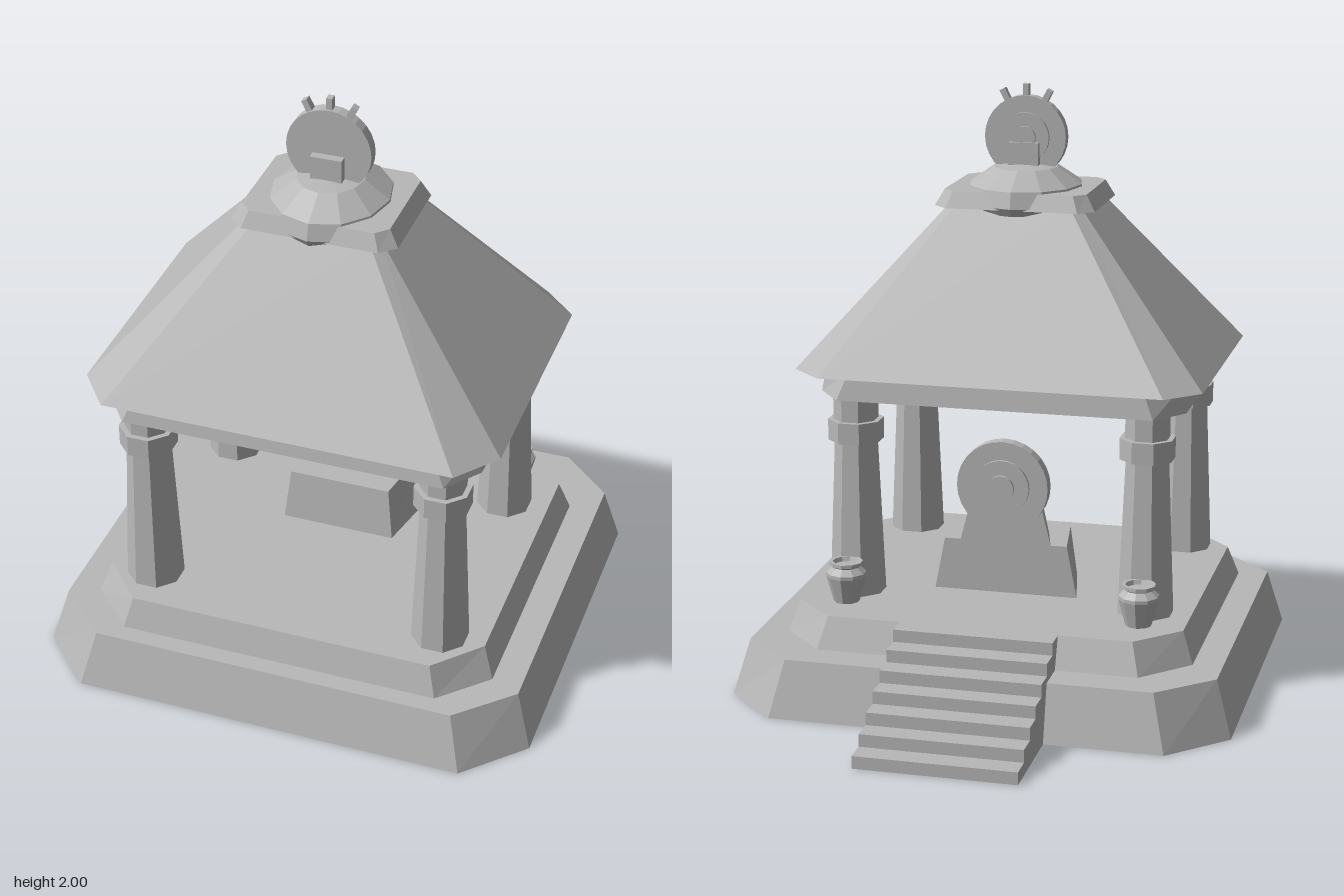
import * as THREE from 'three';

export function createModel() {
  const model = new THREE.Group();
  const stone = new THREE.MeshStandardMaterial({ color: 0xb8b8b8, flatShading: true, side: THREE.DoubleSide });
  stone.name = 'grey stone';

  function add(name, geometry, x = 0, y = 0, z = 0, parent = model) {
    const mesh = new THREE.Mesh(geometry, stone);
    mesh.name = name;
    mesh.position.set(x, y, z);
    parent.add(mesh);
    return mesh;
  }

  // Octagonal plan: half width, back and front z, then where the corner cuts start
  function octagon(y, x, back, front, cutX, cutBack, cutFront) {
    const half = [[cutX, front], [x, cutFront], [x, cutBack], [cutX, back]];
    const other = half.slice().reverse().map(([px, pz]) => [-px, pz]);
    return half.concat(other).map(([px, pz]) => new THREE.Vector3(px, y, pz));
  }

  // Four-sided plan with separate half widths at the back and front
  function trapezoid(y, backX, frontX, back, front) {
    return [[-frontX, front], [frontX, front], [backX, back], [-backX, back]]
      .map(([px, pz]) => new THREE.Vector3(px, y, pz));
  }

  // Walls between two rings, with a top and an optional floor
  function loft(lower, upper, floor = true) {
    const points = [];
    const n = lower.length;
    for (let i = 0; i < n; i++) {
      const j = (i + 1) % n;
      points.push(lower[i], lower[j], upper[j], lower[i], upper[j], upper[i]);
    }
    for (let i = 1; i < n - 1; i++) {
      points.push(upper[0], upper[i], upper[i + 1]);
      if (floor) points.push(lower[0], lower[i + 1], lower[i]);
    }
    const geometry = new THREE.BufferGeometry().setFromPoints(points);
    geometry.computeVertexNormals();
    return geometry;
  }

  // Two-tier platform, hollow beneath
  add('lowerPlatform', loft(
    octagon(0, 0.846, -0.61, 0.943, 0.66, -0.425, 0.755),
    octagon(0.19, 0.792, -0.56, 0.89, 0.615, -0.395, 0.72), false));
  add('upperPlatform', loft(
    octagon(0.19, 0.693, -0.443, 0.83, 0.542, -0.285, 0.68),
    octagon(0.296, 0.656, -0.402, 0.8, 0.515, -0.26, 0.65), false));

  // Stairs at the back
  const steps = 7, rise = 0.296 / steps, run = 0.545 / steps;
  for (let i = 0; i < steps; i++) {
    const height = rise * (steps - i);
    add('stairStep', new THREE.BoxGeometry(0.536, height, run), 0, height / 2, -0.4 - run * (i + 0.5));
  }

  // Octagonal pillars with collars
  const octPrism = (top, bottom, height) => {
    const k = 1 / Math.cos(Math.PI / 8);
    return new THREE.CylinderGeometry(top * k, bottom * k, height, 8).rotateY(Math.PI / 8);
  };
  for (const x of [-0.5, 0.5]) {
    for (const z of [-0.107, 0.638]) {
      const pillar = new THREE.Group();
      pillar.name = 'pillar';
      pillar.position.set(x, 0, z);
      add('pillarShaft', octPrism(0.067, 0.088, 0.54), 0, 0.566, 0, pillar);
      add('pillarCollar', octPrism(0.087, 0.087, 0.072), 0, 0.866, 0, pillar);
      add('pillarNeck', octPrism(0.07, 0.07, 0.09), 0, 0.943, 0, pillar);
      model.add(pillar);
    }
  }

  // Jars beside the stairs
  const jarProfile = [[0, 0], [0.044, 0], [0.068, 0.09], [0.068, 0.102], [0.046, 0.122],
    [0.057, 0.128], [0.057, 0.14], [0.045, 0.14], [0.04, 0.125], [0, 0.125]]
    .map(([r, y]) => new THREE.Vector2(r, y));
  for (const x of [-0.502, 0.502]) add('jar', new THREE.LatheGeometry(jarProfile, 10), x, 0.296, -0.235);

  // Round emblem with raised rings on its back
  function disc(name, radius, thickness, y, z) {
    const group = new THREE.Group();
    group.name = name;
    group.position.set(0, y, z);
    [[1, 0, thickness], [0.6, -0.012, thickness], [0.28, -0.024, thickness]].forEach(([s, dz, t], i) => {
      const plate = new THREE.CylinderGeometry(radius * s, radius * s, t, 28).rotateX(Math.PI / 2);
      add(i ? 'raisedRing' : 'discPlate', plate, 0, 0, dz, group);
    });
    model.add(group);
    return group;
  }

  // Altar
  add('altarBase', loft(trapezoid(0.296, 0.248, 0.195, -0.03, 0.22), trapezoid(0.476, 0.213, 0.175, -0.03, 0.2)));
  add('altarBlock', loft(trapezoid(0.476, 0.157, 0.12, -0.03, 0.107), trapezoid(0.645, 0.115, 0.09, -0.03, 0.085)));
  add('altarTopBlock', new THREE.BoxGeometry(0.112, 0.095, 0.06), 0, 0.692, -0.02);
  disc('altarDisc', 0.157, 0.045, 0.685, -0.055);

  // Roof beam, hipped roof and flared cap
  add('roofBeam', loft(
    octagon(0.985, 0.624, -0.21, 0.758, 0.535, -0.09, 0.64),
    octagon(1.075, 0.608, -0.195, 0.742, 0.5, -0.08, 0.63)));
  add('roof', loft(
    octagon(1.075, 0.69, -0.278, 0.81, 0.58, -0.17, 0.67),
    octagon(1.62, 0.218, 0.08, 0.45, 0.19, 0.11, 0.42)));
  add('roofCap', loft(
    octagon(1.603, 0.274, 0.042, 0.472, 0.225, 0.09, 0.425),
    octagon(1.658, 0.243, 0.065, 0.45, 0.205, 0.105, 0.41)));

  // Faceted dome, deeper than it is wide
  const domeProfile = [[0, 1.583], [0.19, 1.583], [0.205, 1.61], [0.192, 1.665], [0.11, 1.722], [0, 1.736]]
    .map(([r, y]) => new THREE.Vector2(r, y));
  add('dome', new THREE.LatheGeometry(domeProfile, 12).scale(1, 1, 1.13), 0, 0, 0.258);

  // Finial with a pedestal and three spikes
  add('finialPedestal', new THREE.BoxGeometry(0.104, 0.08, 0.1), 0, 1.765, 0.263);
  const finial = disc('finialDisc', 0.14, 0.04, 1.82, 0.265);
  for (const angle of [-0.48, 0, 0.48]) {
    const spike = add('spike', new THREE.BoxGeometry(0.02, 0.05, 0.026),
      Math.sin(angle) * 0.153, Math.cos(angle) * 0.153, 0, finial);
    spike.rotation.z = -angle;
  }

  return model;
}
